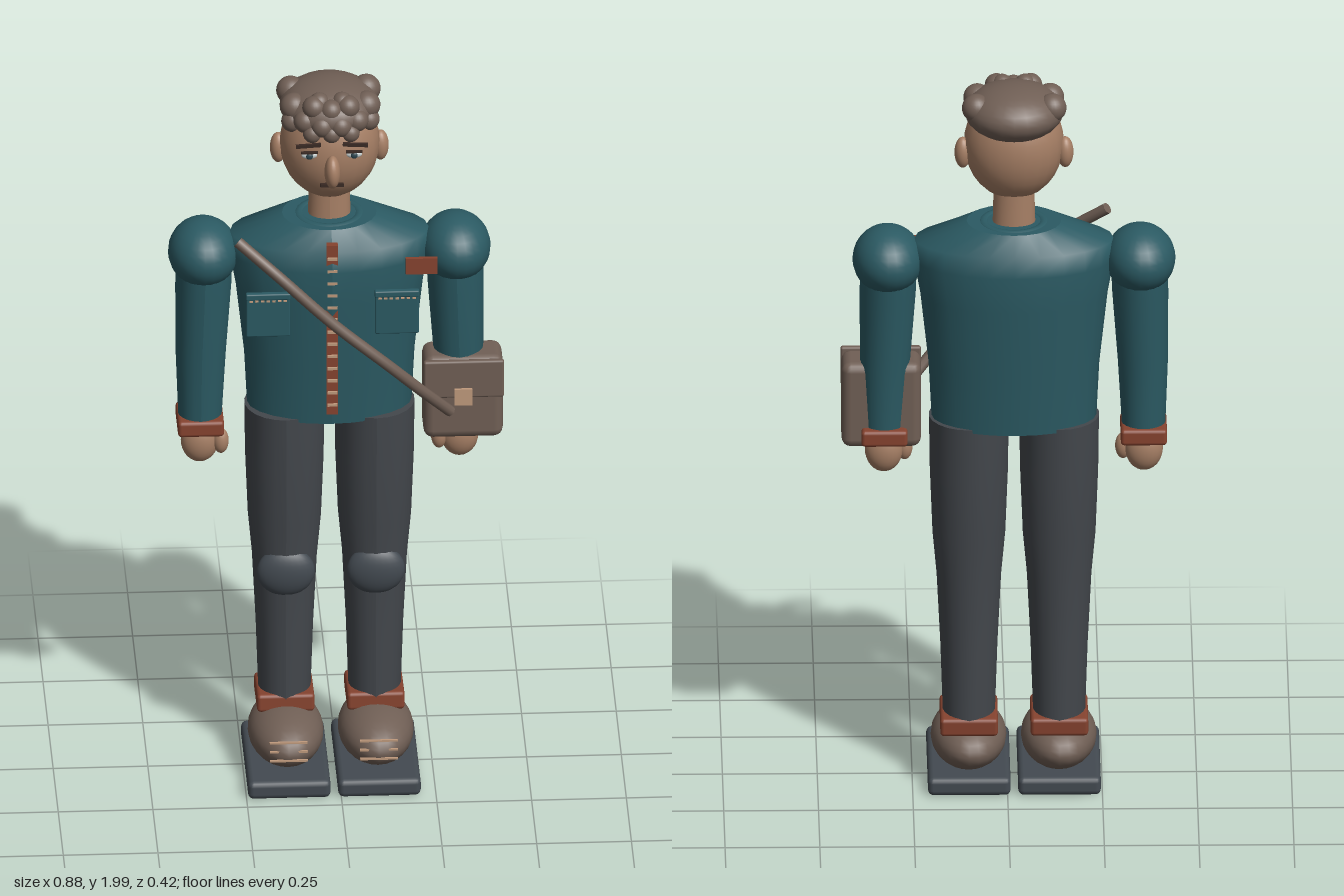
import * as THREE from 'three';
import { RoundedBoxGeometry } from 'three/addons/geometries/RoundedBoxGeometry.js';

const mat = (name, color) => {
  const m = new THREE.MeshStandardMaterial({ color });
  m.name = name;
  return m;
};

export function createModel() {
  const M = {
    jacket: mat('teal jacket', 0x2b5a63),
    trousers: mat('charcoal trousers', 0x43474c),
    rubber: mat('slate rubber', 0x434a51),
    skin: mat('skin', 0xa67f65),
    brown: mat('brown hair and leather', 0x705f55),
    rust: mat('rust trim', 0x86432f),
    tan: mat('tan stitching', 0xc09a7c),
    dark: mat('dark brown', 0x3a2a24),
    eye: mat('eye white', 0xc4cccc),
    iris: mat('iris', 0x2c4650),
  };
  const model = new THREE.Group();
  model.name = 'figure';
  model.position.x = -0.018;

  const add = (name, geo, m, x = 0, y = 0, z = 0, parent = model) => {
    const mesh = new THREE.Mesh(geo, m);
    mesh.name = name;
    mesh.position.set(x, y, z);
    parent.add(mesh);
    return mesh;
  };
  const box = (name, m, w, h, d, x, y, z, r = 0) =>
    add(name, r ? new RoundedBoxGeometry(w, h, d, 2, r) : new THREE.BoxGeometry(w, h, d), m, x, y, z);
  const ball = (name, m, rx, ry, rz, x, y, z) =>
    add(name, new THREE.SphereGeometry(1, 24, 16).scale(rx, ry, rz), m, x, y, z);

  // Closed tube through elliptical sections [y, rx, rz, cx, cz], bottom to top
  const loft = (name, m, rows, seg, x = 0, z = 0) => {
    const n = rows.length - 1;
    const geo = new THREE.CylinderGeometry(1, 1, 1, seg, n);
    const p = geo.attributes.position;
    for (let i = 0; i < p.count; i++) {
      const [y, rx, rz, cx = 0, cz = 0] = rows[Math.round((p.getY(i) + 0.5) * n)];
      p.setXYZ(i, p.getX(i) * rx + cx, y, p.getZ(i) * rz + cz);
    }
    geo.computeVertexNormals();
    return add(name, geo, m, x, 0, z);
  };

  // Torso, collar and neck
  loft('torso', M.jacket, [
    [1.04, 0.217, 0.127], [1.2, 0.225, 0.139], [1.4, 0.247, 0.153],
    [1.5, 0.265, 0.156], [1.555, 0.262, 0.146], [1.605, 0.125, 0.108],
  ], 24, 0, -0.055);
  add('collar', new THREE.TorusGeometry(0.08, 0.012, 8, 28).rotateX(Math.PI / 2).scale(1, 0.5, 1),
    M.jacket, 0, 1.602, -0.055);
  loft('neck', M.skin, [[1.58, 0.057, 0.046], [1.72, 0.053, 0.043]], 20, 0, -0.057);

  // Placket with its row of teeth
  box('placket', M.rust, 0.03, 0.5, 0.02, 0, 1.33, 0.086);
  for (let i = 0; i < 13; i++) box('placketTooth', M.tan, 0.026, 0.007, 0.014, 0, 1.11 + i * 0.036, 0.095);

  // Head and face
  ball('head', M.skin, 0.132, 0.155, 0.116, 0, 1.822, -0.04);
  ball('nose', M.skin, 0.021, 0.046, 0.033, 0, 1.8, 0.098);
  box('mouth', M.dark, 0.062, 0.009, 0.009, 0, 1.751, 0.076);
  for (const s of [-1, 1]) {
    ball('ear', M.skin, 0.022, 0.043, 0.025, s * 0.135, 1.8, -0.055);
    ball('eyeWhite', M.eye, 0.021, 0.01, 0.008, s * 0.059, 1.836, 0.068);
    ball('iris', M.iris, 0.009, 0.009, 0.005, s * 0.059, 1.836, 0.075);
    box('eyelid', M.dark, 0.044, 0.005, 0.009, s * 0.059, 1.847, 0.074);
    box('eyebrow', M.dark, 0.066, 0.009, 0.009, s * 0.062, 1.867, 0.073).rotation.z = -s * 0.06;
  }

  // Hair cap with curls
  ball('hairCap', M.brown, 0.131, 0.073, 0.134, 0, 1.922, -0.062);
  const curls = [ // |x|, y, z, radius
    [0.1, 1.945, -0.1, 0.038], [0.096, 1.94, -0.015, 0.037], [0.1, 1.905, 0, 0.03],
    [0.045, 1.957, 0.028, 0.031], [0, 1.95, 0.036, 0.03],
    [0.068, 1.918, 0.03, 0.031], [0.024, 1.912, 0.05, 0.03],
    [0.05, 1.89, 0.048, 0.025], [0, 1.892, 0.055, 0.025], [0.03, 1.965, 0.015, 0.027],
  ];
  for (const [x, y, z, r] of curls)
    for (const s of x ? [-1, 1] : [1]) ball('curl', M.brown, r, r, r, s * x, y, z);

  for (const s of [-1, 1]) {
    // Arm
    ball('shoulder', M.jacket, 0.093, 0.09, 0.115, s * 0.333, 1.497, -0.055);
    loft('sleeve', M.jacket, [
      [1.01, 0.057, 0.058, s * 0.342, -0.046], [1.2, 0.066, 0.068, s * 0.34, -0.046],
      [1.4, 0.074, 0.086, s * 0.333, -0.052], [1.5, 0.075, 0.088, s * 0.33, -0.055],
    ], 20);
    box('sleeveCuff', M.rust, 0.122, 0.045, 0.135, s * 0.342, 1.003, -0.048, 0.01);
    ball('hand', M.skin, 0.05, 0.062, 0.038, s * 0.343, 0.946, -0.04);
    ball('thumb', M.skin, 0.021, 0.036, 0.021, s * 0.288, 0.948, -0.028);

    // Breast pocket with flap and stitches
    box('pocket', M.jacket, 0.116, 0.125, 0.016, s * 0.17, 1.385, 0.103, 0.004);
    box('pocketFlap', M.jacket, 0.118, 0.018, 0.018, s * 0.17, 1.44, 0.104, 0.004);
    for (let i = -3; i <= 3; i++)
      box('pocketStitch', M.tan, 0.009, 0.004, 0.004, s * 0.17 + i * 0.015, 1.429, 0.113);

    // Leg
    loft('trouserLeg', M.trousers, [
      [0.19, 0.069, 0.08], [0.4, 0.076, 0.083], [0.6, 0.086, 0.088],
      [0.72, 0.097, 0.1], [0.9, 0.104, 0.112], [1.05, 0.106, 0.116],
    ], 22, s * 0.119, -0.05);
    ball('kneePad', M.rubber, 0.077, 0.07, 0.035, s * 0.119, 0.58, 0.02);
    box('ankleCuff', M.rust, 0.152, 0.05, 0.162, s * 0.119, 0.187, -0.05, 0.01).rotation.x = -0.06;

    // Shoe
    ball('shoe', M.brown, 0.1, 0.075, 0.173, s * 0.119, 0.11, 0.011);
    box('sole', M.rubber, 0.218, 0.05, 0.375, s * 0.119, 0.026, 0.025, 0.015);
    for (let i = 0; i < 3; i++)
      box('shoelace', M.tan, 0.1, 0.005, 0.006, s * 0.119, 0.1 + i * 0.022, 0.181 - i * 0.009);
  }

  // Chest badge
  box('badge', M.rust, 0.084, 0.046, 0.012, 0.238, 1.493, 0.052);

  // Shoulder bag and strap
  box('bagBody', M.brown, 0.21, 0.24, 0.12, 0.35, 1.085, -0.026, 0.025);
  box('bagFlap', M.brown, 0.212, 0.108, 0.018, 0.35, 1.151, 0.044, 0.006);
  box('bagClasp', M.tan, 0.047, 0.047, 0.009, 0.348, 1.103, 0.057);
  const strap = new THREE.CatmullRomCurve3([
    [-0.248, 1.585, 0.07], [-0.14, 1.5, 0.117], [0, 1.365, 0.128],
    [0.15, 1.23, 0.118], [0.235, 1.14, 0.085], [0.315, 1.05, 0.035],
  ].map(v => new THREE.Vector3(...v)));
  add('bagStrap', new THREE.TubeGeometry(strap, 40, 0.015, 10), M.brown);
  // Close the two strap ends
  for (const t of [0, 1]) {
    const p = strap.getPoint(t), dir = strap.getTangent(t).multiplyScalar(t ? 1 : -1);
    add('strapEnd', new THREE.CircleGeometry(0.015, 10), M.brown, p.x, p.y, p.z)
      .quaternion.setFromUnitVectors(new THREE.Vector3(0, 0, 1), dir);
  }
  return model;
}
